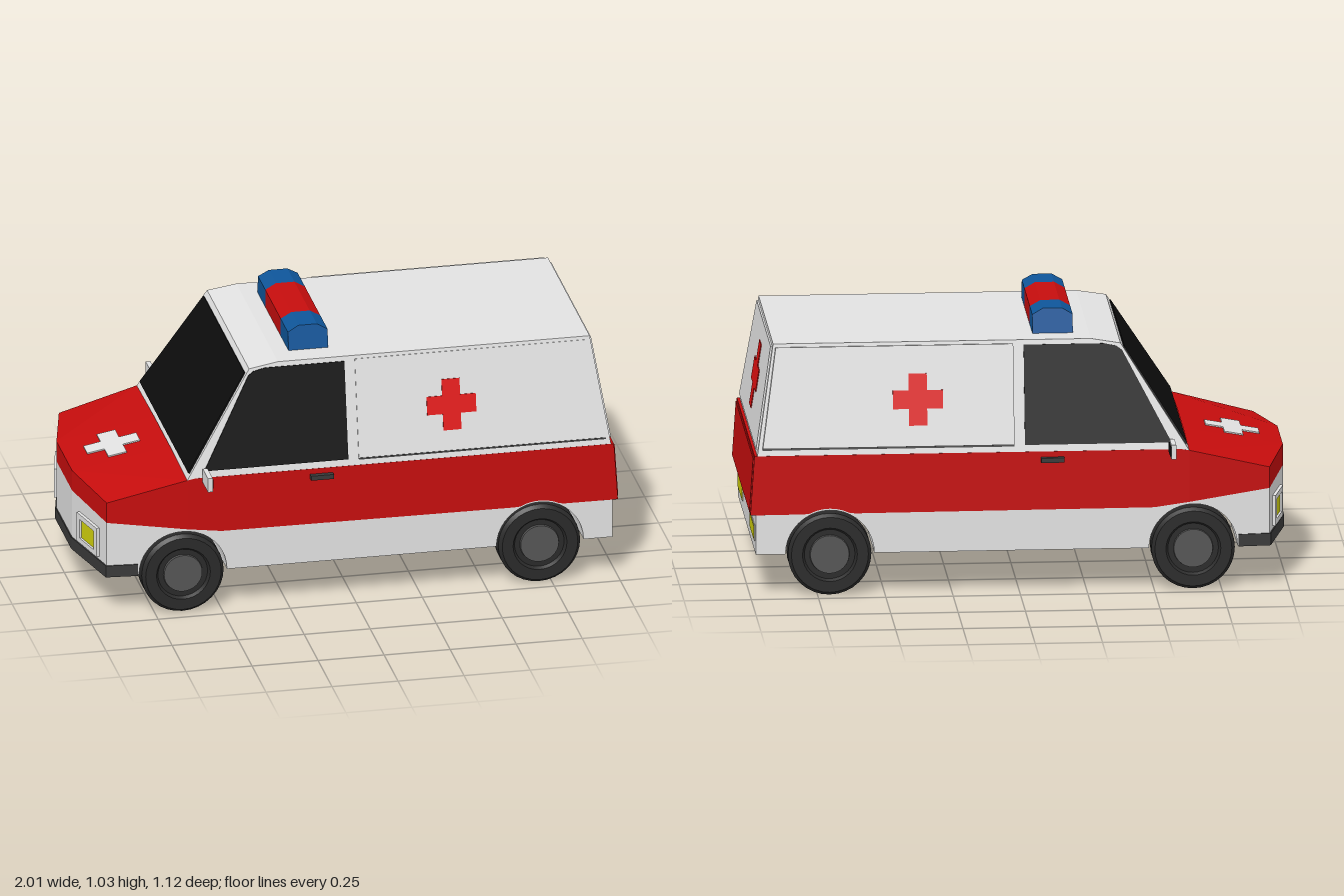
import * as THREE from 'three';
import { toCreasedNormals } from 'three/addons/utils/BufferGeometryUtils.js';

const paint = (name, color) => {
  const m = new THREE.MeshStandardMaterial({ color });
  m.name = name;
  return m;
};
const V3 = (x, y, z) => new THREE.Vector3(x, y, z);

// piecewise linear lookup in a list of [x, value]
function along(table, x) {
  for (let i = 1; i < table.length; i++) {
    const [x0, a] = table[i - 1], [x1, b] = table[i];
    if (x <= x1) return a + (b - a) * Math.max(0, (x - x0) / (x1 - x0));
  }
  return table[table.length - 1][1];
}

function fromQuads(quads) {
  const pos = [];
  for (const [a, b, c, d] of quads) for (const p of [a, b, c, a, c, d]) pos.push(...p);
  const g = new THREE.BufferGeometry();
  g.setAttribute('position', new THREE.Float32BufferAttribute(pos, 3));
  g.computeVertexNormals();
  return g;
}

// closed solid through columns {x0,y0,z0 (bottom), x1,y1,z1 (top)}, mirrored in z
function loft(cols) {
  const rings = cols.map(c => [[c.x0, c.y0, c.z0], [c.x1, c.y1, c.z1], [c.x1, c.y1, -c.z1], [c.x0, c.y0, -c.z0]]);
  const last = rings[rings.length - 1];
  const quads = [rings[0], [last[0], last[3], last[2], last[1]]];
  for (let i = 0; i + 1 < rings.length; i++) {
    for (let k = 0; k < 4; k++) {
      const n = (k + 1) % 4;
      quads.push([rings[i][k], rings[i + 1][k], rings[i + 1][n], rings[i][n]]);
    }
  }
  return fromQuads(quads);
}

// thin plate centred on the plane origin + u*U + v*V
function plate(points, { o, u, v }, depth, hole) {
  const shape = new THREE.Shape(points.map(p => new THREE.Vector2(...p)));
  if (hole) shape.holes.push(new THREE.Path(hole.map(p => new THREE.Vector2(...p))));
  const g = new THREE.ExtrudeGeometry(shape, { depth, bevelEnabled: false });
  g.translate(0, 0, -depth / 2);
  const n = u.clone().cross(v).normalize();
  g.applyMatrix4(new THREE.Matrix4().makeBasis(u, v, n).setPosition(o));
  g.computeVertexNormals();
  return g;
}

const rect = (x0, y0, x1, y1) => [[x0, y0], [x1, y0], [x1, y1], [x0, y1]];
function cross(cx, cy, w, h, t) {
  const a = w / 2, b = h / 2, s = t / 2;
  return [[-s, -b], [s, -b], [s, -s], [a, -s], [a, s], [s, s], [s, b], [-s, b], [-s, s], [-a, s], [-a, -s], [-s, -s]]
    .map(([x, y]) => [cx + x, cy + y]);
}

export function createModel() {
  const root = new THREE.Group();
  root.name = 'ambulance';
  const white = paint('bodyWhite', 0xe2e2e2), red = paint('bodyRed', 0xc60d0d), signRed = paint('crossRed', 0xe01010);
  const glass = paint('glassBlack', 0x0d0d0d), tyreMat = paint('tyreBlack', 0x2a2a2a), hubMat = paint('hubGrey', 0x555555);
  const blue = paint('beaconBlue', 0x0f569a), yellow = paint('lampYellow', 0xcfcf0c), trim = paint('trimGrey', 0x3a3a3a);
  const add = (name, geo, mat) => {
    const m = new THREE.Mesh(geo, mat);
    m.name = name;
    root.add(m);
    return m;
  };

  // lower body: plan outline, colour line, belt line and wheel arches
  const R = 0.165, axles = [-0.645, 0.705];
  const plan = x => along([[-1, 0.14], [-0.93, 0.43], [-0.63, 0.455], [1, 0.455]], x);
  const colourLine = x => along([[-1, 0.39], [-0.93, 0.375], [-0.5, 0.315], [1, 0.31]], x);
  const belt = x => along([[-1, 0.47], [-0.93, 0.455], [-0.63, 0.53], [-0.6, 0.535], [1, 0.535]], x);
  const arch = x => 0.16 + Math.max(...axles.map(c => Math.sqrt(Math.max(0, R * R - (x - c) ** 2))));
  const split = x => Math.max(colourLine(x), arch(x) + 0.006);
  const xs = [-1, -0.93, -0.63, -0.6, 0.98];
  for (const c of axles) for (let i = 0; i <= 20; i++) xs.push(c - R * Math.cos(i * Math.PI / 20));
  xs.sort((a, b) => a - b);
  add('lowerBody', loft(xs.map(x => ({ x0: x, x1: x, y0: arch(x), y1: split(x), z0: plan(x), z1: plan(x) }))), white);
  add('redBelt', loft(xs.map(x => ({
    x0: x === 0.98 ? 1 : x, x1: x === 0.98 ? 0.985 : x, y0: split(x), y1: belt(x), z0: plan(x), z1: plan(x),
  }))), red);

  // slightly crowned bonnet
  const h = s => [[-1, 0.47, 0.14 * s], [-0.63, 0.537, 0.14 * s], [-0.63, 0.53, 0.455 * s], [-0.93, 0.456, 0.43 * s]];
  const L = h(1), Rt = h(-1);
  add('bonnet', fromQuads([[L[0], L[3], L[2], L[1]], Rt, [Rt[0], L[0], L[1], Rt[1]]]), red);
  const bonnetPlane = { o: V3(-0.82, 0.5035, 0), u: V3(1, 0.181, 0), v: V3(0, 0, -1) };
  add('bonnetCross', plate(cross(0, 0, 0.2, 0.21, 0.07), bonnetPlane, 0.008), white);

  // front bumper strip
  add('bumper', loft([-1, -0.93, -0.81].map(x => ({
    x0: x - 0.004, x1: x - 0.004, y0: 0.157, y1: 0.203, z0: plan(x) + 0.004, z1: plan(x) + 0.004,
  }))), trim);

  // cabin with leaning sides, screen and tail
  const cabZ = y => 0.455 - (y - 0.535) * 0.2;
  add('cabin', loft([[-0.63, -0.38, 0.925], [-0.5, -0.27, 0.943], [0.975, 0.91, 0.943]].map(([x0, x1, y1]) => ({
    x0, x1, y0: 0.53, y1, z0: cabZ(0.535), z1: cabZ(y1),
  }))), white);
  const screen = { o: V3(-0.63, 0.535, 0), u: V3(0, 0, 1), v: V3(0.25, 0.39, 0) };
  add('windscreen', plate([[-0.437, 0.04], [0.437, 0.04], [0.366, 0.95], [-0.366, 0.95]], screen, 0.009), glass);

  // rear door, rear cross and red rear panel
  const tail = { o: V3(1.06, 0, 0), u: V3(0, 0, -1), v: V3(-0.1585, 1, 0) };
  add('rearDoor', plate([[-0.435, 0.555], [0.435, 0.555], [0.358, 0.93], [-0.358, 0.93]], tail, 0.012), white);
  add('rearCross', plate(cross(0.015, 0.74, 0.225, 0.24, 0.083), tail, 0.018), signRed);
  const redTail = { o: V3(1.0207, 0, 0), u: V3(0, 0, -1), v: V3(-0.0667, 1, 0) };
  add('rearRedPanel', plate(rect(-0.445, 0.32, 0.445, 0.525), redTail, 0.008), red);

  for (const s of [1, -1]) {
    const side = s > 0 ? 'left' : 'right';
    const flank = { o: V3(0, 0, 0.562 * s), u: V3(s, 0, 0), v: V3(0, 1, -0.2 * s) };
    const onFlank = pts => pts.map(([x, y]) => [x * s, y]);

    // side glass, load panel, seam and cross
    add(side + 'SideWindow', plate(onFlank([[-0.565, 0.56], [-0.385, 0.9], [-0.365, 0.915], [-0.32, 0.925], [-0.02, 0.925], [-0.02, 0.56]]), flank, 0.009), glass);
    const lift = s > 0 ? 0.006 : 0.046;
    add(side + 'LoadPanel', plate(onFlank([[0.02, 0.562], [0.955, 0.562], [0.902, 0.93], [0.02, 0.93]]), flank, lift), white);
    add(side + 'PanelSeam', plate(onFlank(rect(0.02, 0.555, 0.955, 0.561)), flank, 0.005), trim);
    add(side + 'Cross', plate(onFlank(cross(0.377, 0.733, 0.186, 0.19, 0.068)), flank, lift + 0.008), signRed);

    // door handle
    add(side + 'DoorHandle', new THREE.BoxGeometry(0.086, 0.018, 0.024).translate(-0.122, 0.505, 0.463 * s), trim);

    // wing mirror
    add(side + 'MirrorArm', new THREE.BoxGeometry(0.012, 0.02, 0.04).translate(-0.565, 0.545, 0.455 * s), white);
    add(side + 'MirrorShell', new THREE.BoxGeometry(0.018, 0.055, 0.095).translate(-0.565, 0.549, 0.513 * s), white);
    add(side + 'MirrorGlass', new THREE.BoxGeometry(0.006, 0.037, 0.075).translate(-0.555, 0.549, 0.513 * s), glass);

    // headlamp on the angled nose
    const nose = { o: V3(-0.965, 0, 0.285 * s), u: V3(0.07 * s, 0, 0.29).normalize(), v: V3(0, 1, 0) };
    add(side + 'HeadlampFrame', plate(rect(-0.085, 0.215, 0.085, 0.33), nose, 0.024, rect(-0.06, 0.235, 0.06, 0.31)), white);
    add(side + 'Headlamp', plate(rect(-0.06, 0.235, 0.06, 0.31), nose, 0.008), yellow);

    // tail lamp
    const rear = { o: V3(0.98, 0, 0.305 * s), u: V3(0, 0, -1), v: V3(0, 1, 0) };
    add(side + 'TailLampFrame', plate(rect(-0.111, 0.203, 0.111, 0.262), rear, 0.006), white);
    add(side + 'TailLamp', plate(rect(-0.107, 0.207, 0.107, 0.258), rear, 0.0095), yellow);

    // wheels
    const profile = [[0, -0.055], [0.143, -0.055], [0.155, -0.04], [0.155, 0.04], [0.143, 0.055], [0.102, 0.055], [0.094, 0.042], [0, 0.042]]
      .map(p => new THREE.Vector2(...p));
    axles.forEach((x, i) => {
      const wheel = new THREE.Group();
      wheel.name = side + (i ? 'RearWheel' : 'FrontWheel');
      const tyre = new THREE.Mesh(toCreasedNormals(new THREE.LatheGeometry(profile, 32), 0.5), tyreMat);
      tyre.name = 'tyre';
      const hub = new THREE.Mesh(new THREE.CylinderGeometry(0.072, 0.076, 0.02, 32).translate(0, 0.041, 0), hubMat);
      hub.name = 'hub';
      wheel.add(tyre, hub);
      wheel.position.set(x, 0.155, 0.401 * s);
      wheel.rotation.x = s * Math.PI / 2;
      root.add(wheel);
    });
  }

  // roof light bar: red centre, blue ends leaning inwards
  const bar = new THREE.Shape([[-0.21, 0.94], [-0.06, 0.94], [-0.06, 1.012], [-0.1, 1.035], [-0.17, 1.035], [-0.21, 1.012]]
    .map(p => new THREE.Vector2(...p)));
  for (const [name, z0, z1, mat] of [['beaconRight', -0.28, -0.138, blue], ['beaconCentre', -0.138, 0.138, red], ['beaconLeft', 0.138, 0.28, blue]]) {
    const g = new THREE.ExtrudeGeometry(bar, { depth: z1 - z0, bevelEnabled: false }).translate(0, 0, z0);
    const p = g.attributes.position;
    for (let i = 0; i < p.count; i++) {
      const z = p.getZ(i);
      if (Math.abs(z) > 0.2) p.setZ(i, z - Math.sign(z) * (p.getY(i) - 0.94) * 0.16);
    }
    g.computeVertexNormals();
    add(name, g, mat);
  }
  return root;
}
